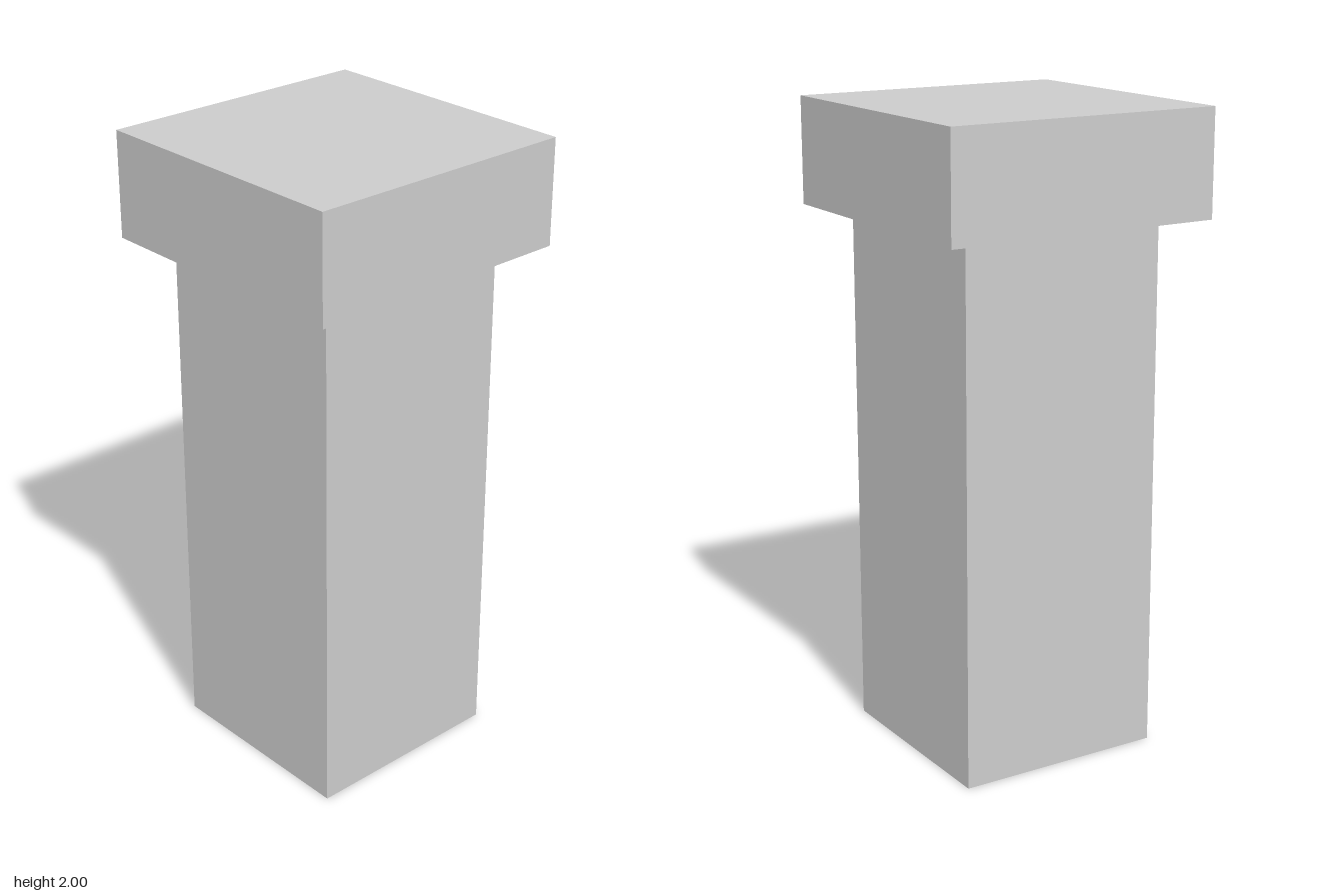
import * as THREE from 'three';

// Box standing on y = base, open at the bottom
function openBox(name, width, height, base, material) {
  const geometry = new THREE.BoxGeometry(width, height, width);
  const index = Array.from(geometry.index.array);
  index.splice(18, 6); // drop the downward side
  geometry.setIndex(index);
  geometry.clearGroups();
  geometry.translate(0, base + height / 2, 0);
  const mesh = new THREE.Mesh(geometry, material);
  mesh.name = name;
  return mesh;
}

export function createModel() {
  const material = new THREE.MeshStandardMaterial({
    color: 0xcccccc, flatShading: true, side: THREE.DoubleSide,
  });
  const group = new THREE.Group();
  group.name = 'pillar';
  // Square shaft and the wider hollow cap resting above it
  group.add(openBox('shaft', 0.664, 1.67, 0, material));
  group.add(openBox('cap', 0.886, 0.33, 1.67, material));
  return group;
}
